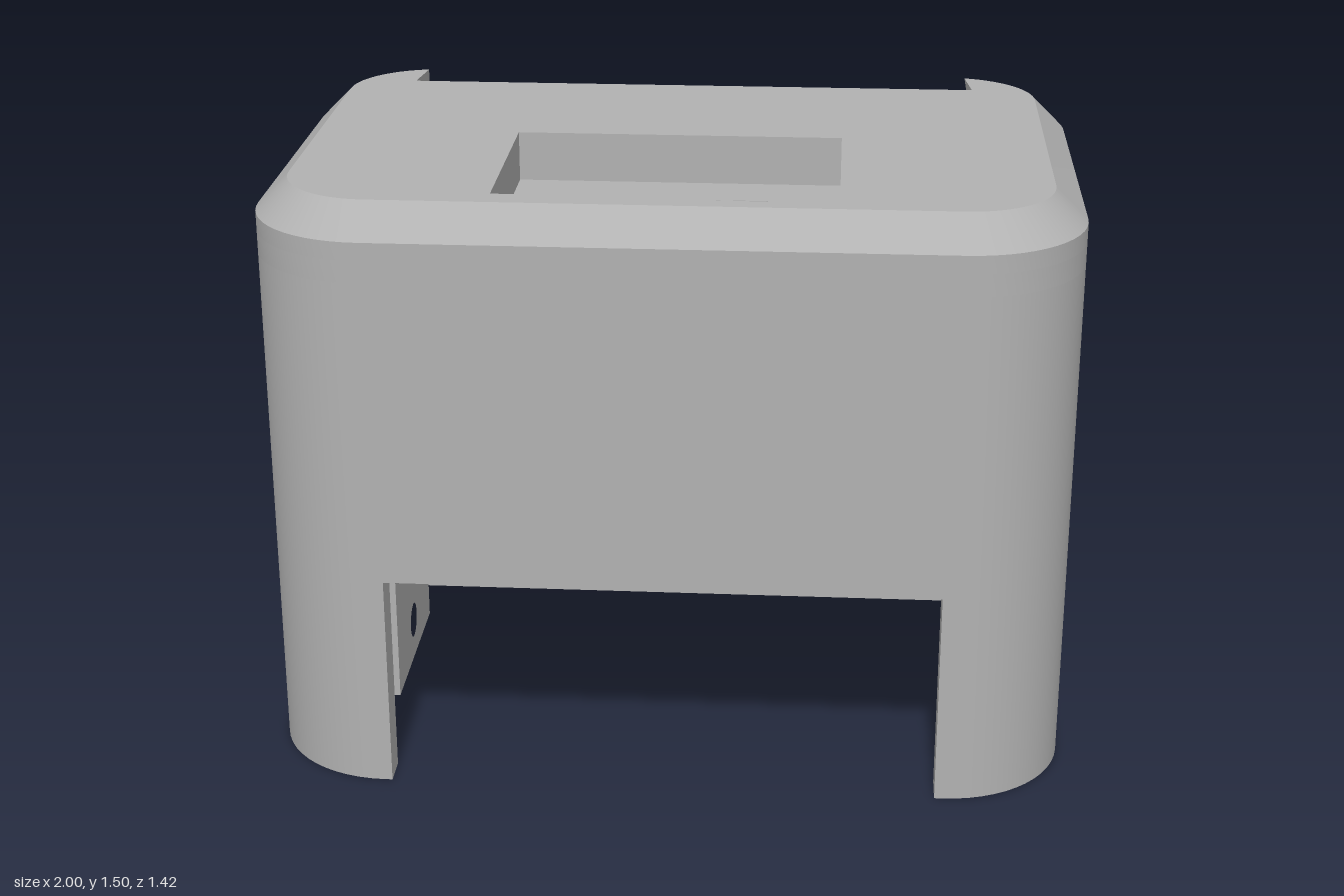
import * as THREE from 'three';
import { toCreasedNormals } from 'three/addons/utils/BufferGeometryUtils.js';

const R = 0.3, T = 0.08, CX = 0.7, ZF = 0.41, ZB = -0.38; // corner radius, wall, corner centres

export function createModel() {
  const grey = new THREE.MeshStandardMaterial({ color: 0xb2b2b2 });
  grey.name = 'grey plastic';
  const model = new THREE.Group();
  model.name = 'enclosure';

  const add = (name, geo) => {
    const mesh = new THREE.Mesh(toCreasedNormals(geo, 0.5), grey);
    mesh.name = name;
    model.add(mesh);
  };
  const box = (name, x0, x1, y0, y1, z0, z1) => {
    const g = new THREE.BoxGeometry(x1 - x0, y1 - y0, z1 - z0);
    add(name, g.translate((x0 + x1) / 2, (y0 + y1) / 2, (z0 + z1) / 2));
  };
  const pair = (name, x0, x1, ...rest) => {
    box(name + 'Left', x0, x1, ...rest);
    box(name + 'Right', -x1, -x0, ...rest);
  };
  const loop = (pts) => pts.map(([a, b]) => new THREE.Vector2(a, b));
  const rect = (a0, a1, b0, b1) => [[a0, b0], [a1, b0], [a1, b1], [a0, b1]];
  const arc = (cx, cy, r, from, to, n = 14) => Array.from({ length: n + 1 }, (_, i) => {
    const t = from + (to - from) * i / n;
    return [cx + r * Math.cos(t), cy + r * Math.sin(t)];
  });
  const extrude = (outline, holes, depth) => {
    const shape = new THREE.Shape(loop(outline));
    shape.holes = holes.map((h) => new THREE.Path(loop(h)));
    return new THREE.ExtrudeGeometry(shape, { depth, bevelEnabled: false });
  };
  // plan outlines are [x, z] pairs, raised along y
  const slab = (outline, holes, y0, y1) => {
    const flip = (pts) => pts.map(([x, z]) => [x, -z]);
    return extrude(flip(outline), holes.map(flip), y1 - y0).rotateX(-Math.PI / 2).translate(0, y0, 0);
  };
  // side outlines are [z, y] pairs, extruded along x
  const side = (outline, holes, x0, x1) => {
    const flip = (pts) => pts.map(([z, y]) => [-z, y]);
    return extrude(flip(outline), holes.map(flip), x1 - x0).rotateY(Math.PI / 2).translate(x0, 0, 0);
  };

  const yRoof = 1.32, yBevel = 1.42, yTop = 1.5;

  // Side walls with keyhole and screw hole
  const kz = 0.05, ky = 0.69, kr = 0.12, hs = 0.054;
  const a = Math.acos(hs / kr);
  const keyhole = [
    ...arc(kz, ky, kr, -a, a), [kz + hs, 0.89], [kz - hs, 0.89],
    ...arc(kz, ky, kr, Math.PI - a, Math.PI + a), [kz - hs, 0.49], [kz + hs, 0.49],
  ];
  const screwHole = arc(0.03, 0.105, 0.047, 0, Math.PI * 2, 24).slice(0, -1);
  for (const s of [1, -1]) {
    const tag = s > 0 ? 'Left' : 'Right';
    const span = (lo, hi) => (s > 0 ? [lo, hi] : [-hi, -lo]);
    const mir = (pts) => pts.map(([x, z]) => [s * x, z]);
    add('sideWall' + tag, side(rect(ZB, ZF, 0, yRoof), [keyhole, screwHole], ...span(1 - T, 1)));

    // Mounting block drilled in line with the screw hole
    add('mountBlock' + tag, side(rect(-0.22, 0.27, 0, 0.46), [screwHole], ...span(0.736, 0.93)));

    // Rounded front corner
    add('frontCorner' + tag, slab(mir([
      ...arc(CX, ZF, R, 0, Math.PI / 2),
      ...arc(CX, ZF, R - T, Math.PI / 2, 0),
    ]), [], 0, yRoof));

    // Back corner post, notched on the outside at mid height
    const end = -Math.asin((0.645 + ZB) / R);
    const inner = [[0.78, -0.645], [0.78, -0.58], ...arc(CX, ZB, R - T, -1.0, 0, 6)];
    const post = mir([...arc(CX, ZB, R, 0, end), ...inner]);
    const notch = -Math.asin((0.59 + ZB) / R);
    const notched = mir([...arc(CX, ZB, R, 0, notch), [0.86, -0.59], [0.835, -0.645], ...inner]);
    add('backPostLower' + tag, slab(post, [], 0, 0.57));
    add('backPostNotch' + tag, slab(notched, [], 0.57, 0.81));
    add('backPostUpper' + tag, slab(post, [], 0.81, yRoof));
  }

  // Front wall with large opening
  add('frontWall', extrude([
    [-CX, 0], [-0.68, 0], [-0.68, 0.55], [0.68, 0.55], [0.68, 0], [CX, 0], [CX, yRoof], [-CX, yRoof],
  ], [], T).translate(0, 0, ZF + R - T));
  box('frontLedge', -0.41, 0.41, 0.57, 0.68, 0.54, 0.64);

  // Roof: rounded plan with a notch at the back between two ears
  const earX = 0.757;
  const earEnd = -Math.acos((earX - CX) / R);
  const half = [...arc(CX, ZF, R, Math.PI / 2, 0), ...arc(CX, ZB, R, 0, earEnd), [earX, -0.47]];
  const plan = [...half, ...half.map(([x, z]) => [-x, z]).reverse()];
  const display = rect(-0.41, 0.41, 0.03, 0.59);
  const windowHole = rect(-0.235, 0.23, 0.175, 0.44);
  add('roofFloor', slab(plan, [windowHole], yRoof, 1.375));
  add('roofRim', slab(plan, [display], 1.375, yBevel));

  // Chamfered cap: the top outline is pulled in towards the corner centres
  const cap = slab(plan, [display], yBevel, yTop);
  const p = cap.attributes.position;
  for (let i = 0; i < p.count; i++) {
    if (p.getY(i) < yTop - 0.01) continue;
    const x = p.getX(i), z = p.getZ(i);
    const cx = THREE.MathUtils.clamp(x, -CX, CX), cz = THREE.MathUtils.clamp(z, ZB, ZF);
    const d = Math.hypot(x - cx, z - cz);
    if (d <= R - T) continue;
    const k = (R - T) / d;
    p.setX(i, cx + (x - cx) * k);
    p.setZ(i, cz + (z - cz) * k);
  }
  add('roofChamfer', cap);

  // Bottom shelf with round hole, lip and raised ribs
  const shelfHole = arc(0, -0.58, 0.093, 0, Math.PI * 2, 32).slice(0, -1);
  add('bottomShelf', slab([
    [-0.87, -0.68], [-0.285, -0.68], [-0.285, -0.71], [0.285, -0.71], [0.285, -0.68], [0.87, -0.68],
    [0.87, -0.5], [0.8, -0.4], [-0.8, -0.4], [-0.87, -0.5],
  ], [shelfHole], 0, 0.04));
  pair('shelfRib', 0.2, 0.26, 0.04, 0.09, -0.665, -0.47);
  box('shelfStop', -0.13, 0.13, 0.04, 0.08, -0.43, -0.4);

  // Tabs, clips and ribs on the back posts and side walls
  pair('bottomTab', 0.585, 0.935, 0.07, 0.125, -0.66, -0.555);
  pair('lowerClip', 0.76, 0.88, 0.14, 0.265, -0.675, -0.61);
  pair('upperClip', 0.76, 0.88, 1.0, 1.125, -0.675, -0.61);
  pair('edgeRib', 0.89, 0.935, 0.13, 1.16, -0.588, -0.577);
  pair('innerRib', 0.84, 0.93, 0.64, 1.2, -0.19, -0.09);
  pair('blockTab', 0.72, 0.93, 0.46, 0.51, -0.22, -0.1);
  pair('wallPeg', 0.83, 0.93, 0.51, 0.57, 0.15, 0.23);

  return model;
}
